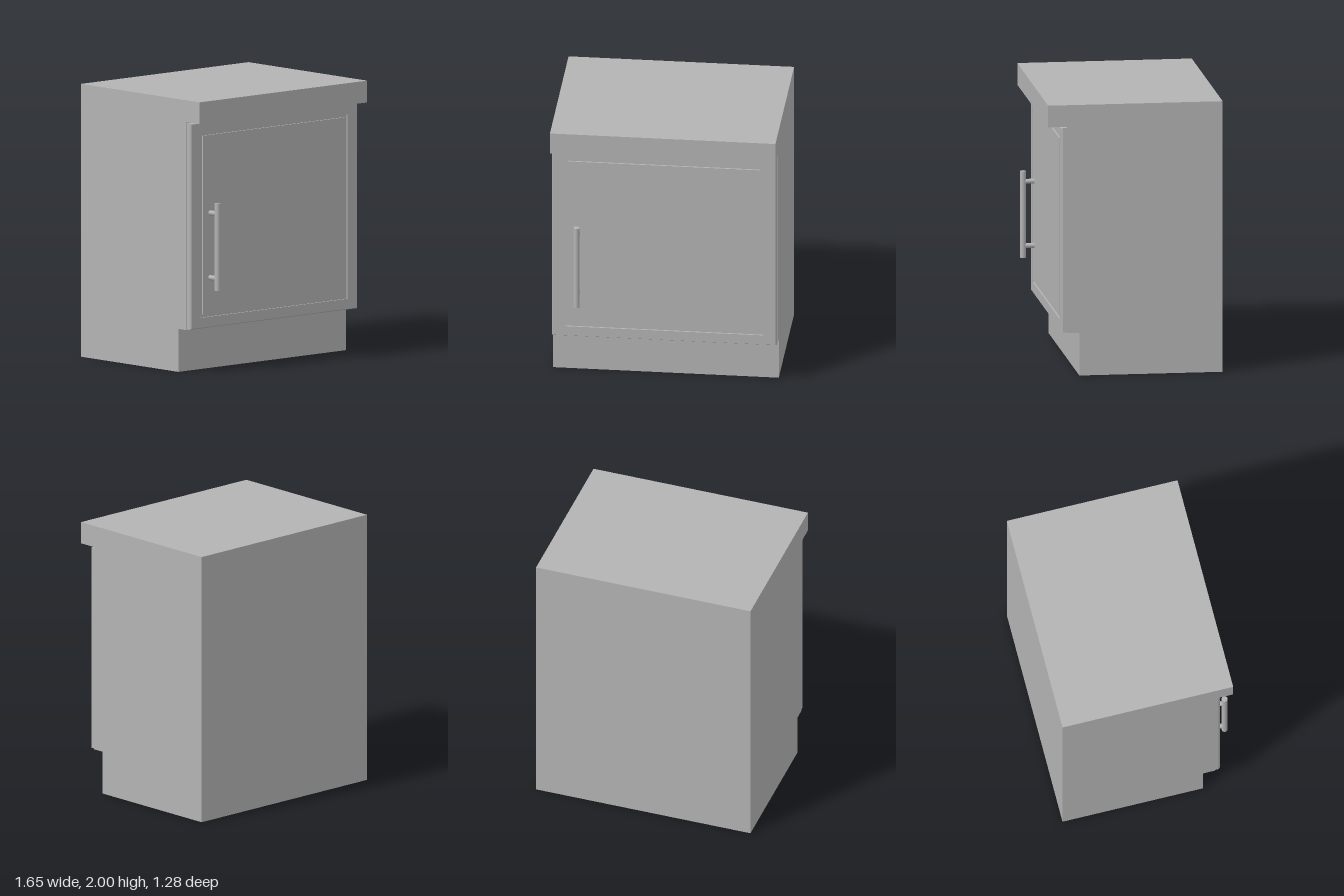
import * as THREE from 'three';

export function createModel() {
  const model = new THREE.Group();
  model.name = 'baseCabinet';
  const grey = new THREE.MeshStandardMaterial({ color: 0xb3b3b3 });
  grey.name = 'plain grey';

  const add = (name, geometry, parent = model) => {
    const mesh = new THREE.Mesh(geometry, grey);
    mesh.name = name;
    parent.add(mesh);
    return mesh;
  };

  // Rectangle traced as a shape or a hole
  const rect = (path, x0, x1, y0, y1) => {
    path.moveTo(x0, y0);
    path.lineTo(x1, y0);
    path.lineTo(x1, y1);
    path.lineTo(x0, y1);
    path.closePath();
    return path;
  };

  // Carcass with toe kick and overhanging worktop, as one side profile (z, y)
  const profile = new THREE.Shape([
    [-0.64, 0], [0.41, 0], [0.41, 0.315], [0.5, 0.315],
    [0.5, 1.84], [0.638, 1.84], [0.638, 2], [-0.64, 2],
  ].map(([z, y]) => new THREE.Vector2(-z, y)));
  const body = new THREE.ExtrudeGeometry(profile, { depth: 1.646, bevelEnabled: false });
  body.rotateY(Math.PI / 2);
  body.translate(-0.823, 0, 0);
  add('carcass', body);

  // Door: backing slab, chamfered frame and centre panel leaving a groove between
  const door = new THREE.Group();
  door.name = 'door';
  model.add(door);
  const X = 0.82, Y0 = 0.32, Y1 = 1.832, FRONT = 0.54, GROOVE = 0.012;
  const slab = new THREE.BoxGeometry(X * 2, Y1 - Y0, FRONT - GROOVE - 0.5);
  slab.translate(0, (Y0 + Y1) / 2, (0.5 + FRONT - GROOVE) / 2);
  add('doorSlab', slab, door);

  const frameShape = rect(new THREE.Shape(), -X, X, Y0, Y1);
  frameShape.holes.push(rect(new THREE.Path(), -0.723, 0.72, 0.4, 1.752));
  const frame = new THREE.ExtrudeGeometry(frameShape, { depth: GROOVE, bevelEnabled: false });
  const p = frame.attributes.position;
  const inset = 0.007;
  for (let i = 0; i < p.count; i++) {
    if (p.getZ(i) < GROOVE / 2) continue;
    if (Math.abs(p.getX(i)) > X - 0.01) {
      p.setX(i, p.getX(i) - Math.sign(p.getX(i)) * inset);
      p.setY(i, p.getY(i) + (p.getY(i) < 1 ? inset : -inset));
    }
  }
  frame.computeVertexNormals();
  frame.translate(0, 0, FRONT - GROOVE);
  add('doorFrame', frame, door);

  const panel = new THREE.BoxGeometry(1.395, 1.312, GROOVE);
  panel.translate(-0.0025, 1.077, FRONT - GROOVE / 2);
  add('doorPanel', panel, door);

  // Bar handle on two posts
  const handle = new THREE.Group();
  handle.name = 'handle';
  handle.position.set(-0.63, 0, 0);
  model.add(handle);
  add('handleBar', new THREE.CylinderGeometry(0.022, 0.022, 0.64, 24), handle)
    .position.set(0, 0.92, 0.622);
  for (const y of [0.687, 1.162]) {
    const post = add('handlePost', new THREE.CylinderGeometry(0.018, 0.018, 0.085, 20), handle);
    post.rotation.x = Math.PI / 2;
    post.position.set(0, y, 0.575);
  }

  return model;
}
